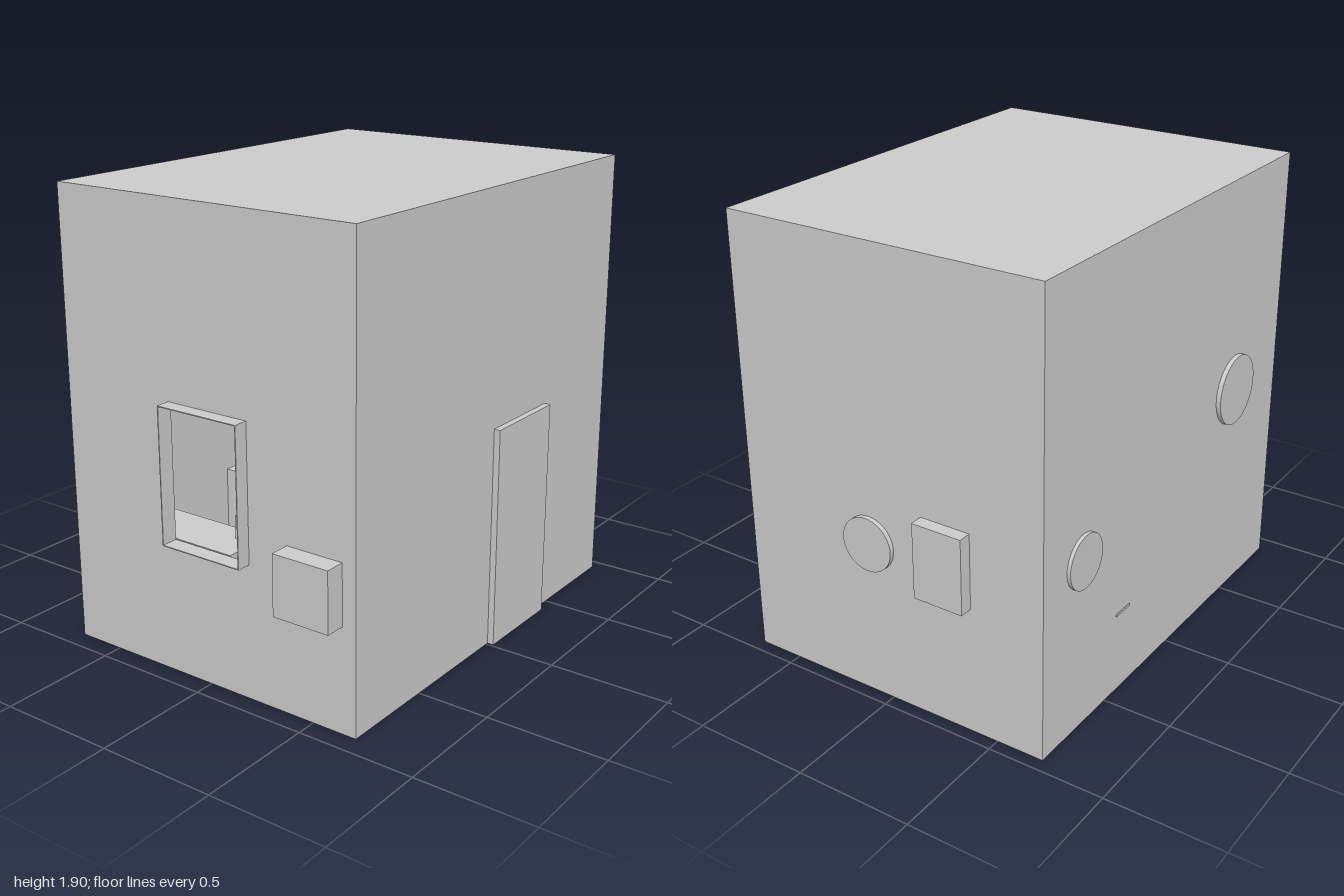
import * as THREE from 'three';

const material = new THREE.MeshStandardMaterial({ color: 0xcccccc, flatShading: true, side: THREE.DoubleSide });

// Box given by its minimum and maximum corners
function block(name, [x0, y0, z0], [x1, y1, z1]) {
  const mesh = new THREE.Mesh(new THREE.BoxGeometry(x1 - x0, y1 - y0, z1 - z0), material);
  mesh.position.set((x0 + x1) / 2, (y0 + y1) / 2, (z0 + z1) / 2);
  mesh.name = name;
  return mesh;
}

// Flat round plate lying along the x or z axis
function disc(name, radius, depth, axis, x, y, z) {
  const geometry = new THREE.CylinderGeometry(radius, radius, depth, 40);
  if (axis === 'x') geometry.rotateZ(Math.PI / 2);
  else geometry.rotateX(Math.PI / 2);
  const mesh = new THREE.Mesh(geometry, material);
  mesh.position.set(x, y, z);
  mesh.name = name;
  return mesh;
}

function rectangle(path, x0, y0, x1, y1) {
  path.moveTo(x0, y0);
  path.lineTo(x1, y0);
  path.lineTo(x1, y1);
  path.lineTo(x0, y1);
  path.closePath();
  return path;
}

export function createModel() {
  const group = new THREE.Group();
  const L = -0.705, R = 0.695, H = 1.9, B = -0.945, F = 0.915, T = 0.01;
  const win = { l: -0.175, r: 0.205, b: 0.56, t: 1.125, z: 0.975 };

  // Hollow room
  group.add(
    block('floor', [L, 0, B], [R, T, F]),
    block('roof', [L, H - T, B], [R, H, F]),
    block('leftWall', [L, T, B], [L + T, H - T, F]),
    block('rightWall', [R - T, T, B], [R, H - T, F]),
    block('backWall', [L + T, T, B], [R - T, H - T, B + T])
  );

  // Front wall with the window opening
  const wall = rectangle(new THREE.Shape(), L + T, T, R - T, H - T);
  wall.holes.push(rectangle(new THREE.Path(), win.l, win.b, win.r, win.t));
  const front = new THREE.Mesh(new THREE.ExtrudeGeometry(wall, { depth: T, bevelEnabled: false }), material);
  front.position.z = F - T;
  front.name = 'frontWall';
  group.add(front);

  // Thin projecting window surround
  const s = 0.004;
  const surround = new THREE.Group();
  surround.name = 'windowSurround';
  surround.add(
    block('surroundLeft', [win.r - s, win.b, F - T], [win.r, win.t, win.z]),
    block('surroundRight', [win.l, win.b, F - T], [win.l + s, win.t, win.z]),
    block('surroundTop', [win.l, win.t - s, F - T], [win.r, win.t, win.z]),
    block('surroundBottom', [win.l, win.b, F - T], [win.r, win.b + s, win.z])
  );
  group.add(surround);

  // Door and wall boxes
  group.add(
    block('door', [R, 0, -0.415], [0.722, 0.935, -0.01]),
    block('frontBox', [0.385, 0.435, F], [0.635, 0.685, 1]),
    block('backBox', [-0.385, 0.55, -1], [-0.165, 0.87, B + 0.02])
  );

  // Round wall plates
  group.add(
    disc('largeSidePlate', 0.153, 0.03, 'x', -0.71, 0.975, 0.508),
    disc('smallSidePlate', 0.113, 0.025, 'x', -0.7075, 0.732, -0.677),
    disc('backPlate', 0.115, 0.035, 'z', 0.085, 0.68, -0.9475),
    disc('backPlateInner', 0.1, 0.01, 'z', 0.085, 0.68, -0.928),
    block('backPlateCatch', [0.074, 0.733, -0.925], [0.096, 0.747, -0.915])
  );

  // Furniture inside, seen through the window
  group.add(
    block('tableTop', [-0.4, 0.54, 0.68], [0.1, 0.565, 0.9]),
    block('tablePost', [0.012, 0.565, 0.75], [0.028, 0.66, 0.766]),
    block('cabinet', [L + T, T, -0.2], [-0.5, 0.46, 0]),
    block('sideLedge', [L - 0.004, 0.35, -0.425], [-0.5, 0.36, -0.325])
  );
  return group;
}
